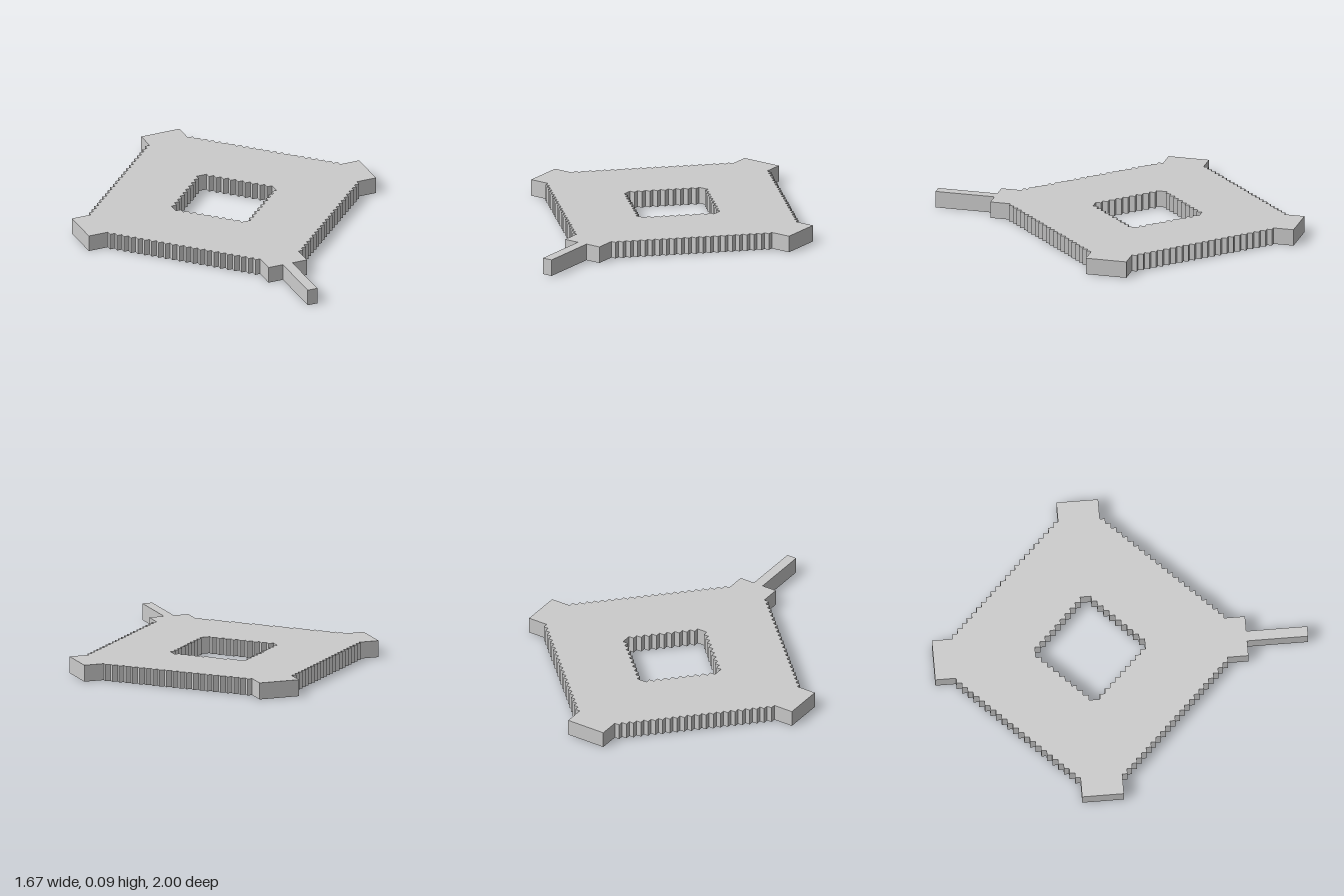
import * as THREE from 'three';

const U = 0.0279;            // one stair step
const HEIGHT = 0.09;
const PLATE = 0.018;         // thickness of the top plate
const WALL = 0.6;            // wall thickness in steps
const CENTRE_Z = -1 + 30 * U;

// Mirrors one quadrant of [x, z] points into a closed outline
function mirrorQuadrant(points) {
  const back = [...points].reverse();
  return [
    ...points,
    ...back.map(([x, z]) => [-x, z]),
    ...points.map(([x, z]) => [-x, -z]),
    ...back.map(([x, z]) => [x, -z]),
  ].map(([x, z]) => new THREE.Vector2(x * U, z * U));
}

// Stepped diamond with a square block on each corner
function bodyOutline(inset) {
  const q = [[30, 4]];
  for (let k = 4; k <= 25; k++) q.push([30 - k, k], [30 - k, k + 1]);
  q.push([4, 26], [4, 30]);
  return mirrorQuadrant(q.map(([x, z]) => [x - inset, z - inset]));
}

// Stepped diamond window
function windowOutline(outset) {
  const s = 1.05;
  const q = [];
  for (let k = 1; k <= 9; k++) q.push([11 - k, k], [10 - k, k]);
  q.push([1, 10]);
  return mirrorQuadrant(q.map(([x, z]) => [x * s + outset, z * s + outset]));
}

export function createModel() {
  const group = new THREE.Group();
  const material = new THREE.MeshStandardMaterial({ color: 0xcccccc, flatShading: true });

  // Extrudes a ring between two outlines, from height y0 to y1
  function ring(name, outer, inner, y0, y1) {
    const shape = new THREE.Shape(outer);
    shape.holes.push(new THREE.Path(inner));
    const geometry = new THREE.ExtrudeGeometry(shape, { depth: y1 - y0, bevelEnabled: false });
    geometry.rotateX(Math.PI / 2);
    const mesh = new THREE.Mesh(geometry, material);
    mesh.name = name;
    mesh.position.set(0, y1, CENTRE_Z);
    group.add(mesh);
  }

  // Top plate with walls hanging below it, open underneath
  ring('topPlate', bodyOutline(0), windowOutline(0), HEIGHT - PLATE, HEIGHT);
  ring('outerWall', bodyOutline(0), bodyOutline(WALL), 0, HEIGHT - PLATE);
  ring('windowWall', windowOutline(WALL), windowOutline(0), 0, HEIGHT - PLATE);

  // Narrow handle at the front corner
  const handleStart = CENTRE_Z + 30 * U;
  const handle = new THREE.Mesh(new THREE.BoxGeometry(2 * U, HEIGHT, 1 - handleStart), material);
  handle.name = 'handle';
  handle.position.set(0, HEIGHT / 2, (1 + handleStart) / 2);
  group.add(handle);

  return group;
}
